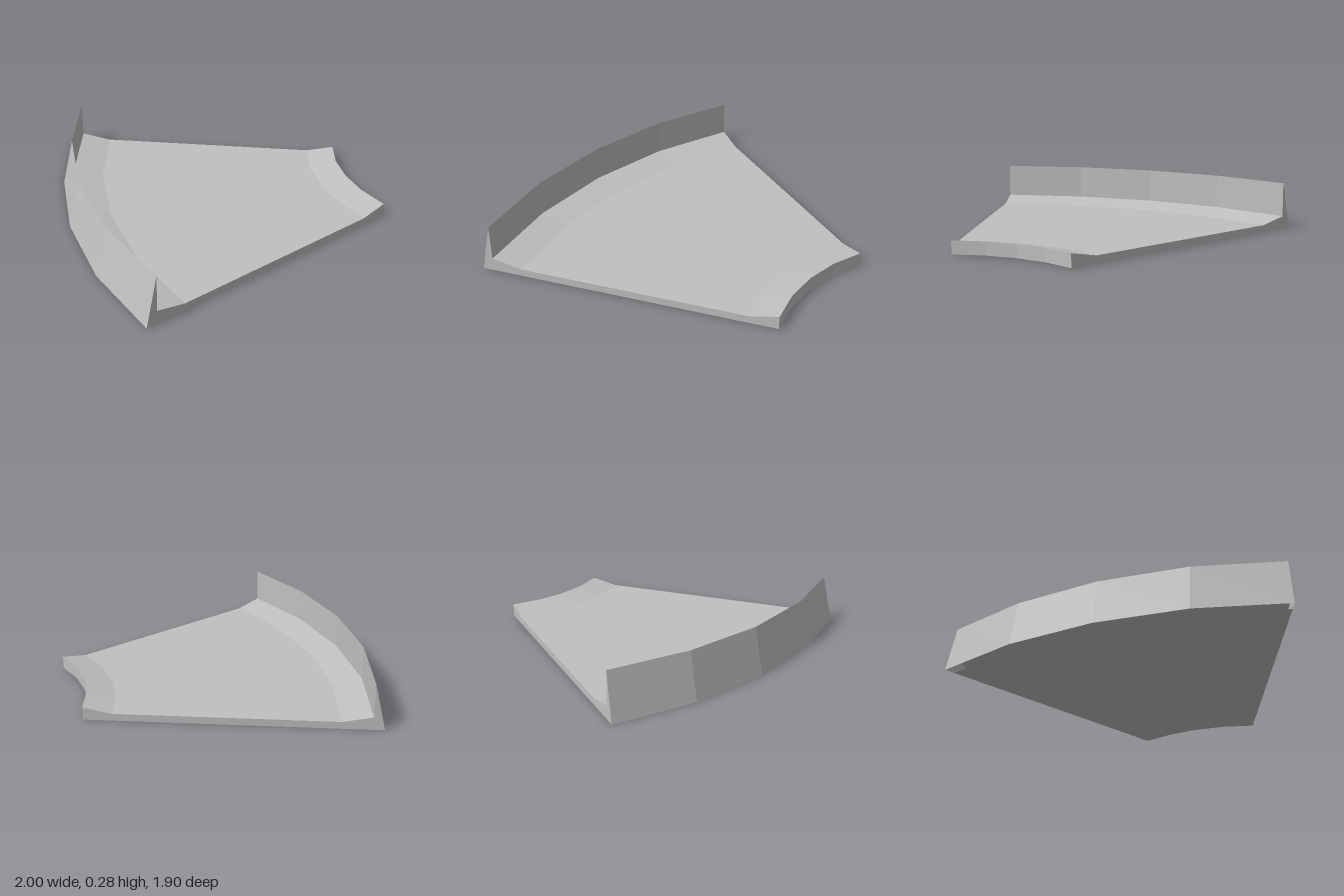
import * as THREE from 'three';

const CENTRE = [1.69, 0, 0.95]; // pivot of the curve
const START = -Math.PI * 3 / 4, SWEEP = Math.PI / 4, SEGMENTS = 4;

// Cross-sections as [radius, height]
const WALL = [[2.69, 0], [2.625, 0.285], [2.625, 0.078]];
const FLOOR = [[2.625, 0.078], [2.45, 0.043], [1.145, 0.043], [0.98, 0.078]];
const INNER_EDGE = [[0.98, 0.078], [0.98, 0]];
const UNDERSIDE = [[0.98, 0], [2.625, 0]];

export function createModel() {
  const group = new THREE.Group();
  group.name = 'curvedSection';
  const grey = new THREE.MeshStandardMaterial({ color: 0xc0c0c0, flatShading: true, side: THREE.DoubleSide });
  grey.name = 'grey';

  const add = (name, geometry) => {
    const mesh = new THREE.Mesh(geometry, grey);
    mesh.name = name;
    mesh.position.set(...CENTRE);
    group.add(mesh);
    return mesh;
  };

  // Sweep each part of the profile round the curve
  const sweep = (name, profile) => add(name, new THREE.LatheGeometry(
    profile.map(([r, y]) => new THREE.Vector2(r, y)), SEGMENTS, START, SWEEP));
  sweep('outerWall', WALL);
  sweep('floor', FLOOR);
  sweep('innerEdge', INNER_EDGE);
  sweep('underside', UNDERSIDE);

  // Flat ends closing the full profile
  const outline = [...WALL, ...FLOOR.slice(1), [0.98, 0]];
  const cap = (name, sign) => add(name, new THREE.ShapeGeometry(
    new THREE.Shape(outline.map(([r, y]) => new THREE.Vector2(sign * r, y)))));
  cap('frontEnd', -1);
  cap('backEnd', 1).rotation.y = Math.PI * 3 / 4;

  return group;
}
